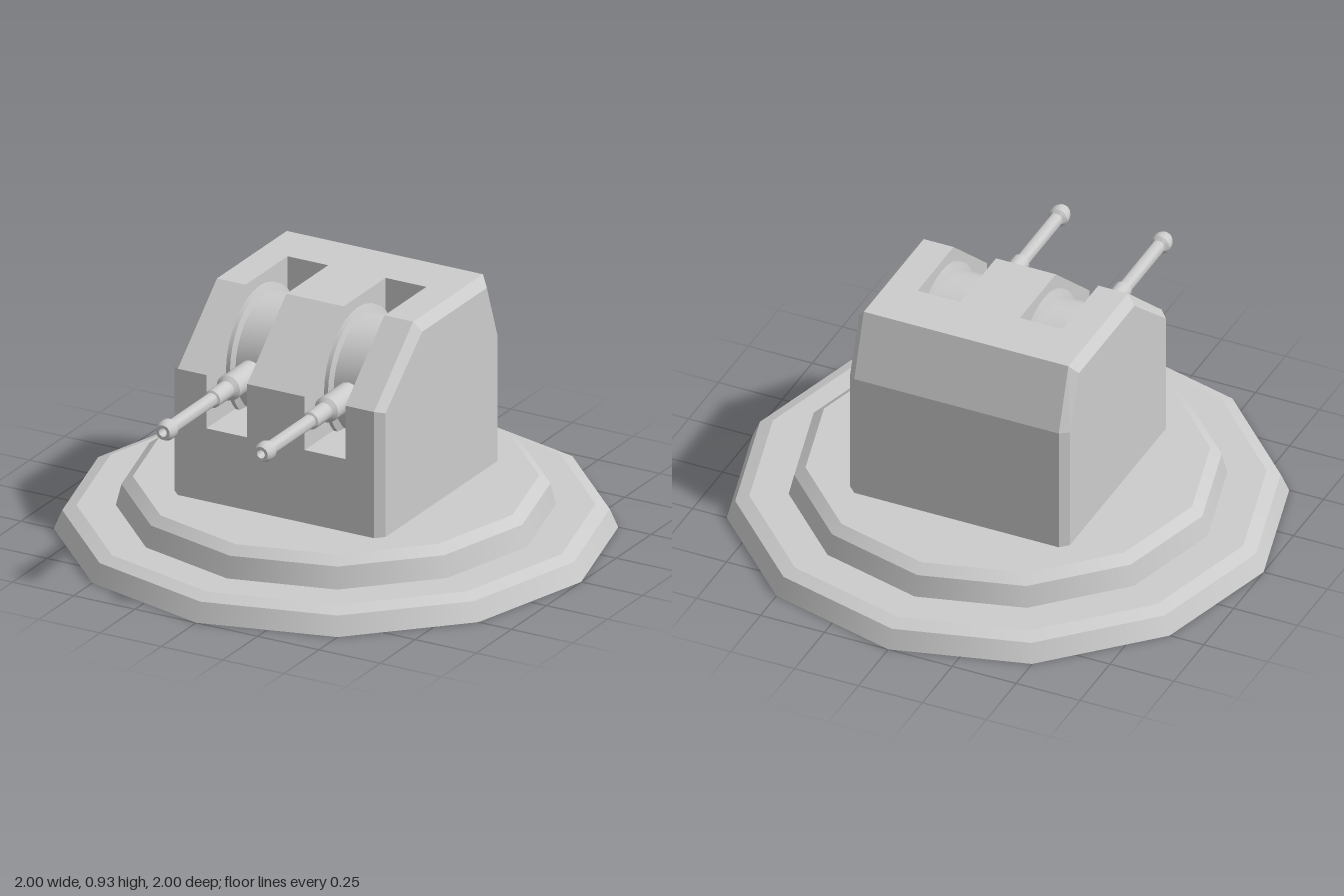
import * as THREE from 'three';
import { toCreasedNormals } from 'three/addons/utils/BufferGeometryUtils.js';

const grey = new THREE.MeshStandardMaterial({ color: 0xcccccc });
const thinGrey = new THREE.MeshStandardMaterial({ color: 0xcccccc, side: THREE.DoubleSide });
const shellGrey = new THREE.MeshStandardMaterial({ color: 0xcccccc, flatShading: true, side: THREE.DoubleSide });

const toPoints = (profile) => profile.map(([r, y]) => new THREE.Vector2(r, y));

// Turned part: profile of [radius, height], with sharp edges kept sharp
function turned(name, profile, sides) {
  const geometry = toCreasedNormals(new THREE.LatheGeometry(toPoints(profile), sides), 0.6);
  const mesh = new THREE.Mesh(geometry, grey);
  mesh.name = name;
  return mesh;
}

// Thin-walled twelve-sided tier, one band per profile step so every step has a crisp edge
function createTier(name, profile) {
  const tier = new THREE.Group();
  tier.name = name;
  for (let i = 0; i < profile.length - 1; i++) {
    const band = new THREE.Mesh(new THREE.LatheGeometry(toPoints(profile.slice(i, i + 2)), 12), thinGrey);
    band.name = `${name}Band${i + 1}`;
    tier.add(band);
  }
  return tier;
}

// Hollow housing, skinned across its width from side profiles of [z, y]
function createHousing() {
  const full = [[-0.43, 0.2], [-0.43, 0.69], [-0.35, 0.93], [0.15, 0.93], [0.43, 0.685], [0.43, 0.2]];
  const inset = [[-0.4, 0.2], [-0.4, 0.685], [-0.325, 0.893], [0.138, 0.893], [0.4, 0.675], [0.4, 0.2]];
  const notched = [[-0.43, 0.2], [-0.43, 0.69], [-0.35, 0.93], [-0.15, 0.93], [-0.15, 0.48], [0.43, 0.48], [0.43, 0.2]];
  const slotWall = [[-0.15, 0.48], [-0.15, 0.93], [0.15, 0.93], [0.43, 0.685], [0.43, 0.48]];
  const positions = [];
  const put = (x, [z, y]) => positions.push(x, y, z);

  const strip = (x0, a, x1, b) => {
    for (let i = 0; i < a.length - 1; i++) {
      put(x0, a[i]); put(x0, a[i + 1]); put(x1, b[i + 1]);
      put(x0, a[i]); put(x1, b[i + 1]); put(x1, b[i]);
    }
  };
  const wall = (x, outline, facing) => {
    const p = facing > 0 ? outline : [...outline].reverse();
    for (let i = 1; i < p.length - 1; i++) {
      put(x, p[0]); put(x, p[i]); put(x, p[i + 1]);
    }
  };

  // Bevelled sides, cheeks, gun slots and centre
  strip(-0.43, inset, -0.4, full);
  strip(-0.4, full, -0.283, full);
  strip(-0.283, notched, -0.117, notched);
  strip(-0.117, full, 0.117, full);
  strip(0.117, notched, 0.283, notched);
  strip(0.283, full, 0.4, full);
  strip(0.4, full, 0.43, inset);
  for (const side of [-1, 1]) {
    wall(side * 0.43, inset, side);
    wall(side * 0.117, slotWall, side);
    wall(side * 0.283, slotWall, -side);
  }

  const geometry = new THREE.BufferGeometry();
  geometry.setAttribute('position', new THREE.Float32BufferAttribute(positions, 3));
  geometry.computeVertexNormals();
  const mesh = new THREE.Mesh(geometry, shellGrey);
  mesh.name = 'housing';
  return mesh;
}

// Pivot drum with raised rims, and the barrel that comes out of it
function createGun(x) {
  const gun = new THREE.Group();
  gun.name = x > 0 ? 'leftGun' : 'rightGun';

  const drum = turned('pivotDrum', [
    [0, -0.082], [0.243, -0.082], [0.243, -0.066], [0.217, -0.058],
    [0.217, 0.058], [0.243, 0.066], [0.243, 0.082], [0, 0.082],
  ], 32);
  drum.rotation.z = Math.PI / 2;
  drum.position.z = 0.05;

  const barrel = turned('barrel', [
    [0.048, 0.22], [0.048, 0.42], [0.033, 0.435], [0.033, 0.535], [0.025, 0.54],
    [0.025, 0.83], [0.037, 0.842], [0.037, 0.868], [0.028, 0.888], [0.016, 0.888],
    [0.014, 0.84], [0, 0.84],
  ], 16);
  barrel.rotation.x = Math.PI / 2;

  gun.add(drum, barrel);
  gun.position.set(x, 0.648, 0);
  return gun;
}

export function createModel() {
  const model = new THREE.Group();
  model.name = 'gunTurret';

  // Flange open underneath, and a hollow platform with a hole through both its plates
  model.add(createTier('baseFlange', [[1, 0], [0.97, 0.07], [0.92, 0.09], [0.78, 0.09]]));
  model.add(createTier('basePlatform', [[0.27, 0.09], [0.78, 0.09], [0.76, 0.17], [0.72, 0.2], [0.27, 0.2]]));

  model.add(createHousing());
  for (const x of [-0.2, 0.2]) model.add(createGun(x));
  return model;
}
